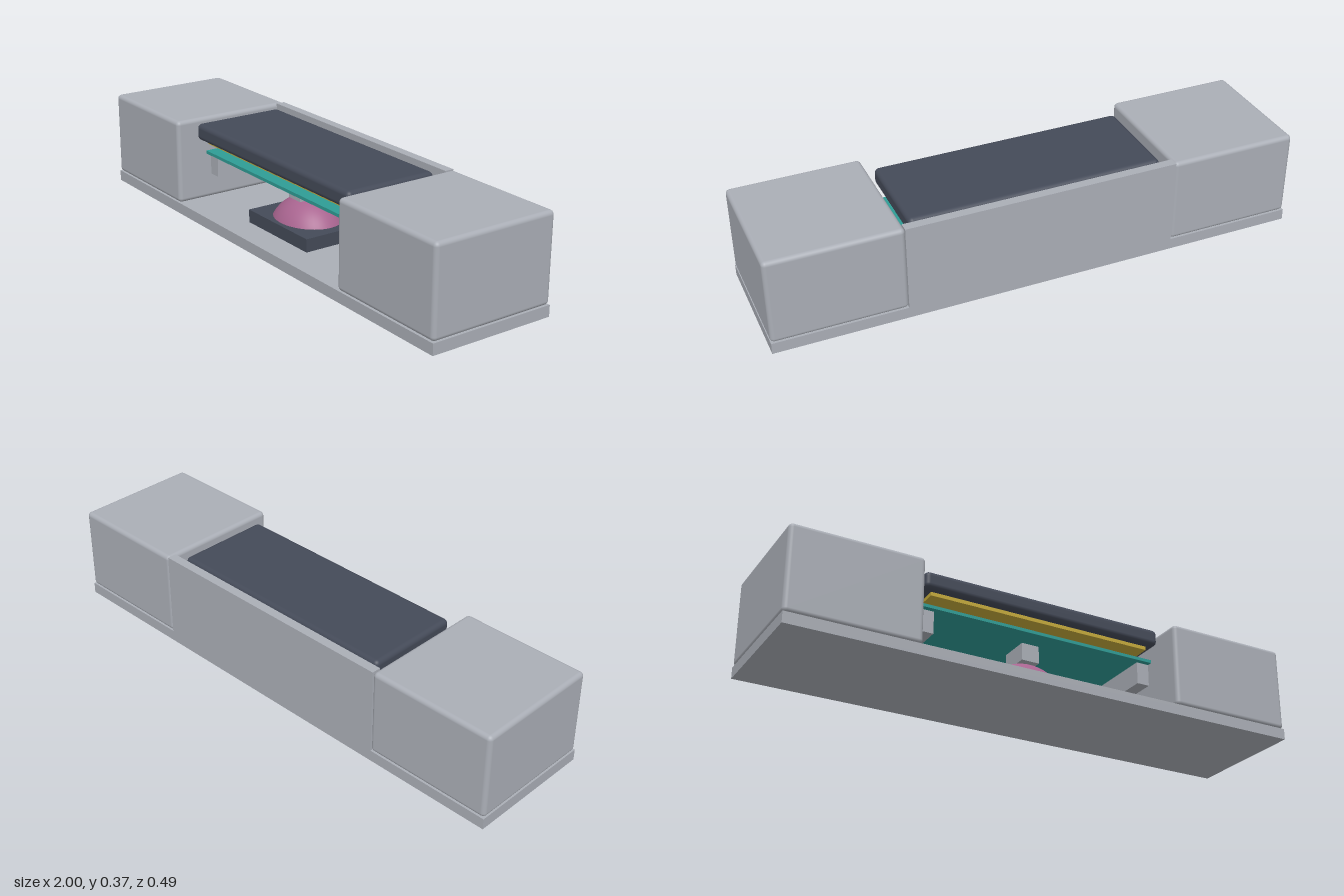
import * as THREE from 'three';
import { RoundedBoxGeometry } from 'three/addons/geometries/RoundedBoxGeometry.js';

const mat = (name, color) => {
  const m = new THREE.MeshStandardMaterial({ color });
  m.name = name;
  return m;
};

export function createModel() {
  const g = new THREE.Group();
  g.name = 'keySwitchSection';
  const housing = mat('housing grey', 0xaaaeb6);
  const dark = mat('dark slate', 0x444a58);
  const pink = mat('rubber pink', 0xa8648f);
  const teal = mat('board teal', 0x2f9c95);
  const yellow = mat('film yellow', 0xc4a93a);

  // Box from its min and max corners, optionally rounded
  const box = (name, m, [x0, y0, z0], [x1, y1, z1], r = 0) => {
    const s = [x1 - x0, y1 - y0, z1 - z0];
    const geo = r ? new RoundedBoxGeometry(...s, 4, r) : new THREE.BoxGeometry(...s);
    const mesh = new THREE.Mesh(geo, m);
    mesh.position.set((x0 + x1) / 2, (y0 + y1) / 2, (z0 + z1) / 2);
    mesh.name = name;
    g.add(mesh);
    return mesh;
  };

  // Housing
  box('basePlate', housing, [-1, 0, -0.245], [1, 0.042, 0.245]);
  box('backWall', housing, [-0.512, 0.042, -0.245], [0.512, 0.368, -0.21]);
  box('leftBlock', housing, [0.51, 0.042, -0.245], [1, 0.368, 0.245], 0.016);
  box('rightBlock', housing, [-1, 0.042, -0.245], [-0.51, 0.368, 0.245], 0.016);

  // Cap, backing film and circuit board
  box('cap', dark, [-0.48, 0.297, -0.19], [0.48, 0.361, 0.18], 0.018);
  box('backingFilm', yellow, [-0.445, 0.283, -0.16], [0.445, 0.298, 0.15]);
  box('circuitBoard', teal, [-0.47, 0.237, -0.16], [0.47, 0.249, 0.145]);

  // Supports running to the wall, and flat components on the board
  for (const [side, s] of [['left', 1], ['right', -1]]) {
    const span = (a, b) => (s > 0 ? [a, b] : [-b, -a]);
    const [a, b] = span(0.42, 0.47);
    box(side + 'Support', housing, [a, 0.152, -0.21], [b, 0.238, 0.125]);
    const [c, d] = span(0.19, 0.315);
    box(side + 'Component', dark, [c, 0.249, -0.06], [d, 0.256, 0.06]);
  }

  // Centre plunger above and below the board
  box('upperStem', housing, [-0.046, 0.249, -0.05], [0.046, 0.284, 0.05]);
  box('lowerStem', housing, [-0.035, 0.17, -0.06], [0.035, 0.238, 0.06]);

  // Rubber dome on its pad
  box('domePad', dark, [-0.185, 0.042, -0.137], [0.185, 0.092, 0.137]);
  const R = 0.169, h = 0.082;
  const dome = new THREE.Mesh(
    new THREE.SphereGeometry(R, 48, 16, 0, Math.PI * 2, 0, Math.acos((R - h) / R)), pink);
  dome.scale.z = 0.83;
  dome.position.y = 0.091 + h - R;
  dome.name = 'rubberDome';
  g.add(dome);

  return g;
}
